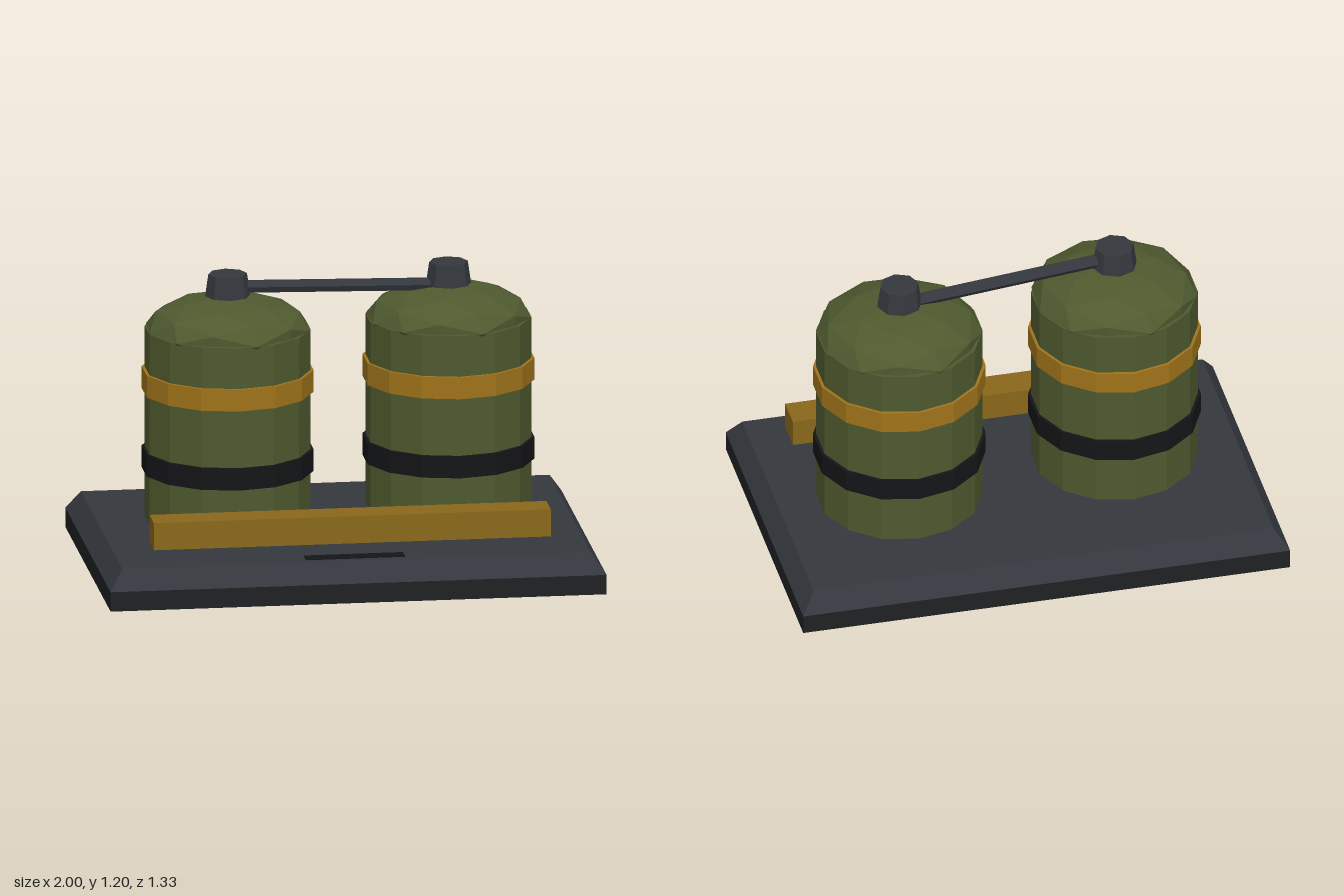
import * as THREE from 'three';

const material = (color) => new THREE.MeshStandardMaterial({ color, flatShading: true });
const OLIVE = material(0x4f5a2f);
const GOLD = material(0xa0741a);
const DARK_GOLD = material(0x8a681a);
const BLACK = material(0x141517);
const CHARCOAL = material(0x1f2123);
const STEEL = material(0x34383e);

function add(parent, name, geometry, mat, x = 0, y = 0, z = 0) {
  const mesh = new THREE.Mesh(geometry, mat);
  mesh.name = name;
  mesh.position.set(x, y, z);
  parent.add(mesh);
  return mesh;
}

// Box whose top face is pulled in on every side
function bevelledPlate(width, height, depth, inset) {
  const geometry = new THREE.BoxGeometry(width, height, depth);
  const p = geometry.attributes.position;
  for (let i = 0; i < p.count; i++) {
    if (p.getY(i) > 0) {
      p.setX(i, p.getX(i) - Math.sign(p.getX(i)) * inset);
      p.setZ(i, p.getZ(i) - Math.sign(p.getZ(i)) * inset);
    }
  }
  geometry.computeVertexNormals();
  return geometry;
}

// Tank with faceted dome, two bands and a valve cap
function makeTank(name, x, z, domeTurn) {
  const tank = new THREE.Group();
  tank.name = name;
  tank.position.set(x, 0, z);
  const drum = (radius, height) => new THREE.CylinderGeometry(radius, radius, height, 14);
  add(tank, 'tankBody', drum(0.333, 0.785), OLIVE, 0, 0.5875);
  const dome = add(tank, 'tankDome', new THREE.IcosahedronGeometry(0.333, 1), OLIVE, 0, 0.98);
  dome.scale.y = 0.4;
  dome.rotation.y = domeTurn;
  add(tank, 'upperBand', drum(0.345, 0.09), GOLD, 0, 0.767);
  add(tank, 'lowerBand', drum(0.345, 0.09), BLACK, 0, 0.44);
  add(tank, 'valveCap', new THREE.CylinderGeometry(0.078, 0.091, 0.09, 8), STEEL, 0, 1.157);
  return tank;
}

export function createModel() {
  const model = new THREE.Group();
  model.name = 'twinTankUnit';

  // Base plate with bevelled top and a dark slot
  add(model, 'baseSlab', new THREE.BoxGeometry(2, 0.08, 1.334), CHARCOAL, 0, 0.04);
  add(model, 'basePlate', bevelledPlate(2, 0.08, 1.334, 0.055), STEEL, 0, 0.12);
  add(model, 'baseSlot', new THREE.BoxGeometry(0.4, 0.01, 0.064), BLACK, 0, 0.158, 0.545);

  // Front rail
  add(model, 'frontRail', new THREE.BoxGeometry(1.6, 0.112, 0.132), DARK_GOLD, 0, 0.254, 0.417);

  // Tanks
  model.add(makeTank('rightTank', -0.437, 0, 0.23));
  model.add(makeTank('leftTank', 0.463, -0.07, 0.3));

  // Pipe joining the two valve caps
  const start = new THREE.Vector3(-0.437, 1.148, 0);
  const end = new THREE.Vector3(0.463, 1.11, -0.07);
  const direction = end.clone().sub(start);
  const pipe = add(model, 'connectingPipe',
    new THREE.CylinderGeometry(0.027, 0.027, direction.length(), 6), STEEL);
  pipe.position.copy(start).lerp(end, 0.5);
  pipe.quaternion.setFromUnitVectors(new THREE.Vector3(0, 1, 0), direction.normalize());

  return model;
}
